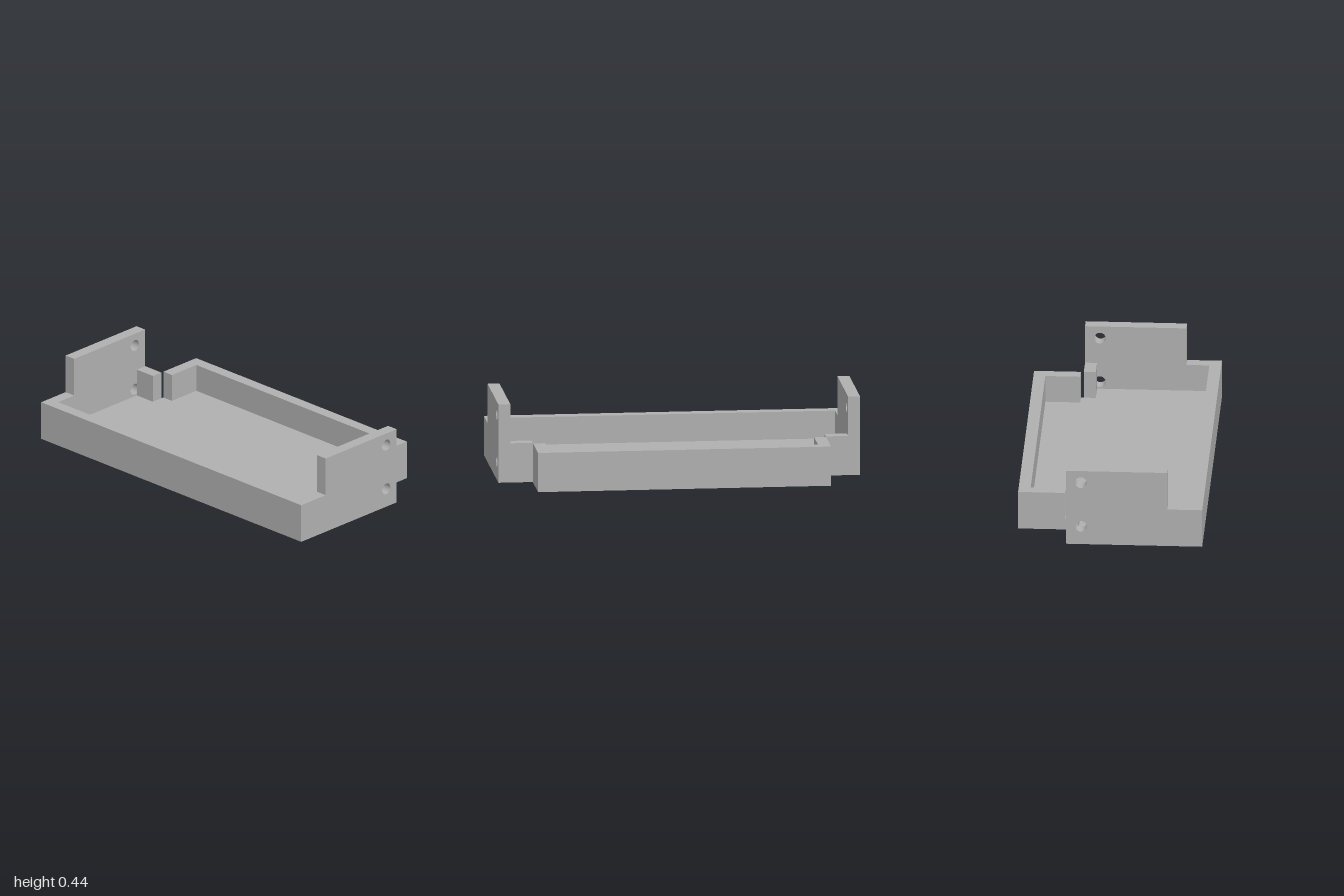
import * as THREE from 'three';

const FLOOR = 0.065, RIM = 0.22, TOP = 0.44, WALL = 0.066;
const BACK = -0.512, FRONT = 0.512, SIDE_BACK = -0.238, SLOT_BACK = -0.254, NECK = 0.81;

export function createModel() {
  const group = new THREE.Group();
  const grey = new THREE.MeshStandardMaterial({ color: 0xb0b0b0 });

  function add(name, geometry) {
    const mesh = new THREE.Mesh(geometry, grey);
    mesh.name = name;
    group.add(mesh);
    return mesh;
  }

  const outline = (points) => new THREE.Shape(points.map(([a, b]) => new THREE.Vector2(a, b)));

  // Plan outline given as [x, z], raised from y0 to y1
  function slab(name, points, y0, y1) {
    const shape = outline(points.map(([x, z]) => [x, -z]));
    const geometry = new THREE.ExtrudeGeometry(shape, { depth: y1 - y0, bevelEnabled: false });
    geometry.rotateX(-Math.PI / 2).translate(0, y0, 0);
    return add(name, geometry);
  }

  const rect = (x0, x1, z0, z1) => [[x0, z0], [x1, z0], [x1, z1], [x0, z1]];

  // Floor, narrower at the back
  slab('floor', [
    [-1, FRONT], [1, FRONT], [1, SIDE_BACK], [NECK, SIDE_BACK],
    [NECK, BACK], [-NECK, BACK], [-NECK, SIDE_BACK], [-1, SIDE_BACK],
  ], 0, FLOOR);

  // Low front wall between the side plates
  slab('frontWall', rect(-1 + WALL, 1 - WALL, FRONT - WALL, FRONT), FLOOR, RIM);

  // U-shaped wall around the back section
  const inner = NECK - WALL;
  slab('backWall', [
    [-NECK, SLOT_BACK], [-NECK, BACK], [NECK, BACK], [NECK, SLOT_BACK],
    [inner, SLOT_BACK], [inner, BACK + WALL], [-inner, BACK + WALL], [-inner, SLOT_BACK],
  ], FLOOR, RIM);

  // Stepped side plate as [z, y], with two screw holes
  const plate = outline([
    [SIDE_BACK, FLOOR], [FRONT, FLOOR], [FRONT, RIM], [0.32, RIM], [0.32, TOP], [SIDE_BACK, TOP],
  ]);
  for (const y of [0.107, 0.37]) {
    plate.holes.push(new THREE.Path().absarc(-0.156, y, 0.032, 0, Math.PI * 2, true));
  }
  const plateGeometry = new THREE.ExtrudeGeometry(plate, { depth: WALL, bevelEnabled: false, curveSegments: 32 });
  plateGeometry.rotateY(-Math.PI / 2);

  for (const [side, s] of [['left', 1], ['right', -1]]) {
    add(side + 'SidePlate', plateGeometry).position.x = s > 0 ? 1 : -1 + WALL;
    // Short return wall beside the slot
    const [x0, x1] = [s * NECK, s * (1 - WALL)].sort((a, b) => a - b);
    slab(side + 'ReturnWall', rect(x0, x1, SIDE_BACK, SIDE_BACK + WALL), FLOOR, RIM);
  }
  return group;
}
